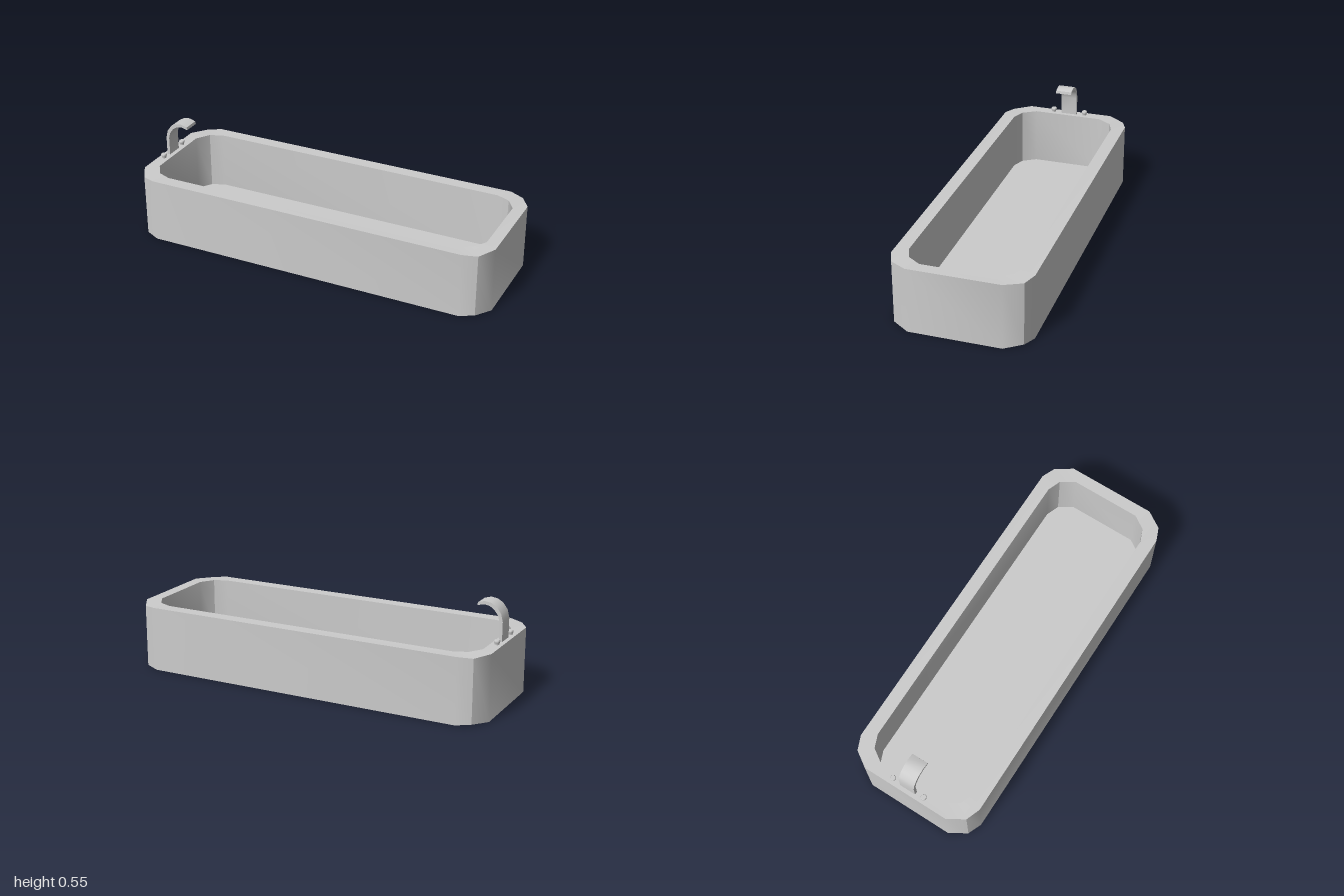
import * as THREE from 'three';
import { toCreasedNormals } from 'three/addons/utils/BufferGeometryUtils.js';

const CREASE = THREE.MathUtils.degToRad(34);

// One corner of each outline, from the short end round to the long side
const OUTER = [[1, 0.24], [0.945, 0.33], [0.87, 0.36]];
const INNER = [[0.937, 0.19], [0.89, 0.262], [0.82, 0.29]];

// Mirror a corner into a closed 12-point ring; the middle corner point sits at its own height
function ring(corner, y, yMid = y) {
  const quarter = corner.map(([x, z], i) => [x, i === 1 ? yMid : y, z]);
  const flip = (pts, sx, sz) => pts.map(([x, h, z]) => [x * sx, h, z * sz]);
  const back = [...quarter].reverse();
  return [...quarter, ...flip(back, -1, 1), ...flip(quarter, -1, -1), ...flip(back, 1, -1)];
}

// Skin a list of rings, closing both ends with a fan to the centre
function skin(rings) {
  const pos = [];
  const tri = (...pts) => pts.forEach((p) => pos.push(...p));
  const n = rings[0].length;
  const first = [0, rings[0][0][1], 0];
  const last = [0, rings[rings.length - 1][0][1], 0];
  for (let i = 0; i < n; i++) {
    const j = (i + 1) % n;
    tri(first, rings[0][i], rings[0][j]);
    for (let k = 0; k < rings.length - 1; k++) {
      const a = rings[k], b = rings[k + 1];
      tri(a[i], b[i], b[j]);
      tri(a[i], b[j], a[j]);
    }
    tri(rings[rings.length - 1][i], last, rings[rings.length - 1][j]);
  }
  const geo = new THREE.BufferGeometry();
  geo.setAttribute('position', new THREE.Float32BufferAttribute(pos, 3));
  return toCreasedNormals(geo, CREASE);
}

export function createModel() {
  const model = new THREE.Group();
  model.name = 'bathtub';
  const material = new THREE.MeshStandardMaterial({ color: 0xcccccc });
  const add = (name, geometry) => {
    const mesh = new THREE.Mesh(geometry, material);
    mesh.name = name;
    model.add(mesh);
    return mesh;
  };

  // Tub: underside, outer wall, rim, inner wall and floor
  add('tub', skin([
    ring(INNER, 0),
    ring(OUTER, 0, 0.007),
    ring(OUTER, 0.348, 0.342),
    ring(INNER, 0.348),
    ring(INNER, 0.035),
  ]));

  // Spout: a flat band rising from the rim and curling over the basin
  const profile = [
    [-0.978, 0.345], [-0.961, 0.345], [-0.961, 0.45], [-0.952, 0.48], [-0.932, 0.507],
    [-0.908, 0.523], [-0.88, 0.528], [-0.842, 0.519],
    [-0.845, 0.534], [-0.88, 0.545], [-0.915, 0.54], [-0.945, 0.522], [-0.968, 0.49], [-0.978, 0.45],
  ].map(([x, y]) => new THREE.Vector2(x, y));
  const spout = new THREE.ExtrudeGeometry(new THREE.Shape(profile), { depth: 0.09, bevelEnabled: false });
  spout.translate(0, 0, -0.045);
  add('spout', toCreasedNormals(spout, CREASE));

  // Tap knobs: flared stems with a rounded cap, one each side of the spout
  const knobProfile = [[0, 0], [0.0115, 0], [0.0115, 0.006], [0.0155, 0.015], [0.0155, 0.022], [0.013, 0.026], [0, 0.026]]
    .map(([r, y]) => new THREE.Vector2(r, y));
  const knob = toCreasedNormals(new THREE.LatheGeometry(knobProfile, 12), CREASE);
  for (const [name, z] of [['leftTapKnob', 0.092], ['rightTapKnob', -0.092]]) {
    add(name, knob).position.set(-0.97, 0.347, z);
  }
  return model;
}
